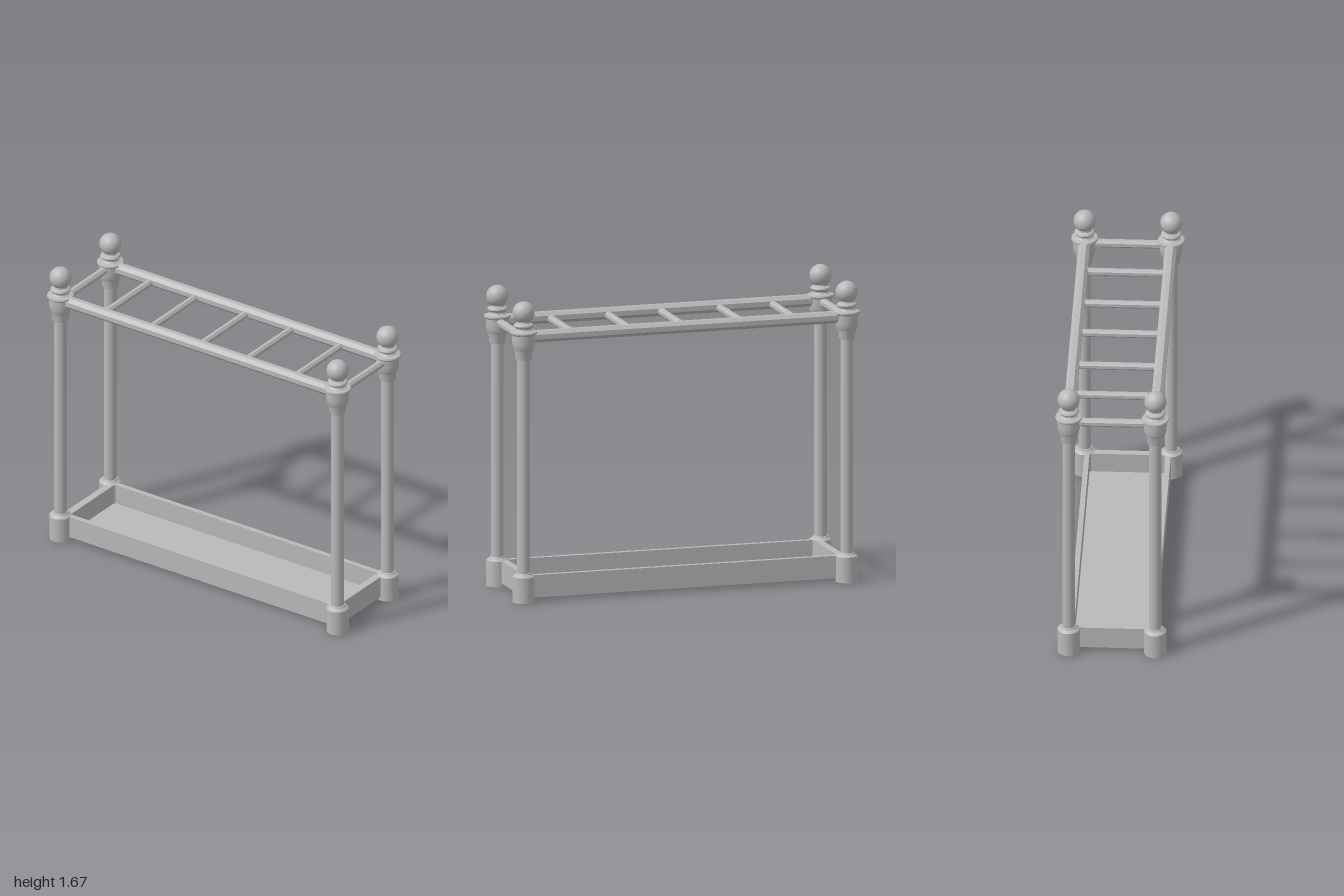
import * as THREE from 'three';
import { toCreasedNormals } from 'three/addons/utils/BufferGeometryUtils.js';

const POST_X = 0.237, POST_Z = 0.926;
const grey = new THREE.MeshStandardMaterial({ color: 0xb9b9b9, side: THREE.DoubleSide });
grey.name = 'grey metal';

function part(name, geometry, parent) {
  const mesh = new THREE.Mesh(geometry, grey);
  mesh.name = name;
  parent.add(mesh);
  return mesh;
}

// Turned part from [radius, height] pairs, with crisp edges where the profile bends
function turned(points) {
  const lathe = new THREE.LatheGeometry(points.map(([r, y]) => new THREE.Vector2(r, y)), 32);
  return toCreasedNormals(lathe, 0.5);
}

// Octagonal bar along z with flats facing up and sideways; radius is measured to the flats
function bar(radius, length) {
  const g = new THREE.CylinderGeometry(1, 1, length, 8).rotateY(Math.PI / 8).rotateX(Math.PI / 2);
  const s = radius / Math.cos(Math.PI / 8);
  return toCreasedNormals(g.scale(s, s, 1), 0.5);
}

function createPost() {
  const post = new THREE.Group();
  // Hollow foot socket, open underneath
  part('foot', turned([[0.061, 0], [0.061, 0.142], [0.056, 0.147], [0.044, 0.155], [0.041, 0.162], [0.034, 0.163]]), post);
  part('shaft', new THREE.CylinderGeometry(0.035, 0.035, 1.25, 32, 1, true).translate(0, 0.765, 0), post);
  part('capital', turned([
    [0.034, 1.355], [0.044, 1.355], [0.046, 1.362], [0.046, 1.385], [0.05, 1.395], [0.05, 1.402],
    [0.057, 1.415], [0.061, 1.435], [0.063, 1.46], [0.063, 1.49],
    [0.072, 1.496], [0.074, 1.502], [0.072, 1.509], [0.05, 1.514],
    [0.042, 1.522], [0.042, 1.528], [0.052, 1.534], [0.056, 1.542], [0.052, 1.55],
    [0.038, 1.557], [0.034, 1.575],
  ]), post);
  part('finial', new THREE.SphereGeometry(0.061, 32, 20).translate(0, 1.614, 0), post);
  return post;
}

function createTray() {
  const tray = new THREE.Group();
  tray.name = 'dripTray';
  const hx = 0.237, hz = 0.92, ix = 0.208, iz = 0.878;
  // Rectangular wall ring
  const outline = new THREE.Shape([[-hx, -hz], [hx, -hz], [hx, hz], [-hx, hz]].map(p => new THREE.Vector2(...p)));
  outline.holes.push(new THREE.Path([[-ix, -iz], [-ix, iz], [ix, iz], [ix, -iz]].map(p => new THREE.Vector2(...p))));
  const walls = new THREE.ExtrudeGeometry(outline, { depth: 0.125, bevelEnabled: false });
  part('trayWalls', walls.rotateX(-Math.PI / 2).translate(0, 0.02, 0), tray);
  part('trayFloor', new THREE.BoxGeometry(2 * ix, 0.012, 2 * iz).translate(0, 0.026, 0), tray);
  return tray;
}

export function createModel() {
  const model = new THREE.Group();
  model.name = 'umbrellaStand';

  for (const sx of [-1, 1]) {
    for (const sz of [-1, 1]) {
      const post = createPost();
      post.name = (sz > 0 ? 'front' : 'back') + (sx > 0 ? 'Left' : 'Right') + 'Post';
      post.position.set(sx * POST_X, 0, sz * POST_Z);
      model.add(post);
    }
    // Long top rails
    part(sx > 0 ? 'leftRail' : 'rightRail', bar(0.032, 2 * POST_Z), model).position.set(sx * POST_X, 1.478, 0);
  }

  // Short rails between the end posts
  for (const sz of [-1, 1]) {
    const rail = part(sz > 0 ? 'frontRail' : 'backRail', bar(0.022, 2 * POST_X), model);
    rail.rotation.y = Math.PI / 2;
    rail.position.set(0, 1.473, sz * POST_Z);
  }

  // Dividing rungs
  for (const z of [-0.643, -0.34, -0.005, 0.3, 0.628]) {
    const rung = part('rung', bar(0.02, 2 * POST_X - 0.04), model);
    rung.rotation.y = Math.PI / 2;
    rung.position.set(0, 1.473, z);
  }

  model.add(createTray());
  return model;
}
